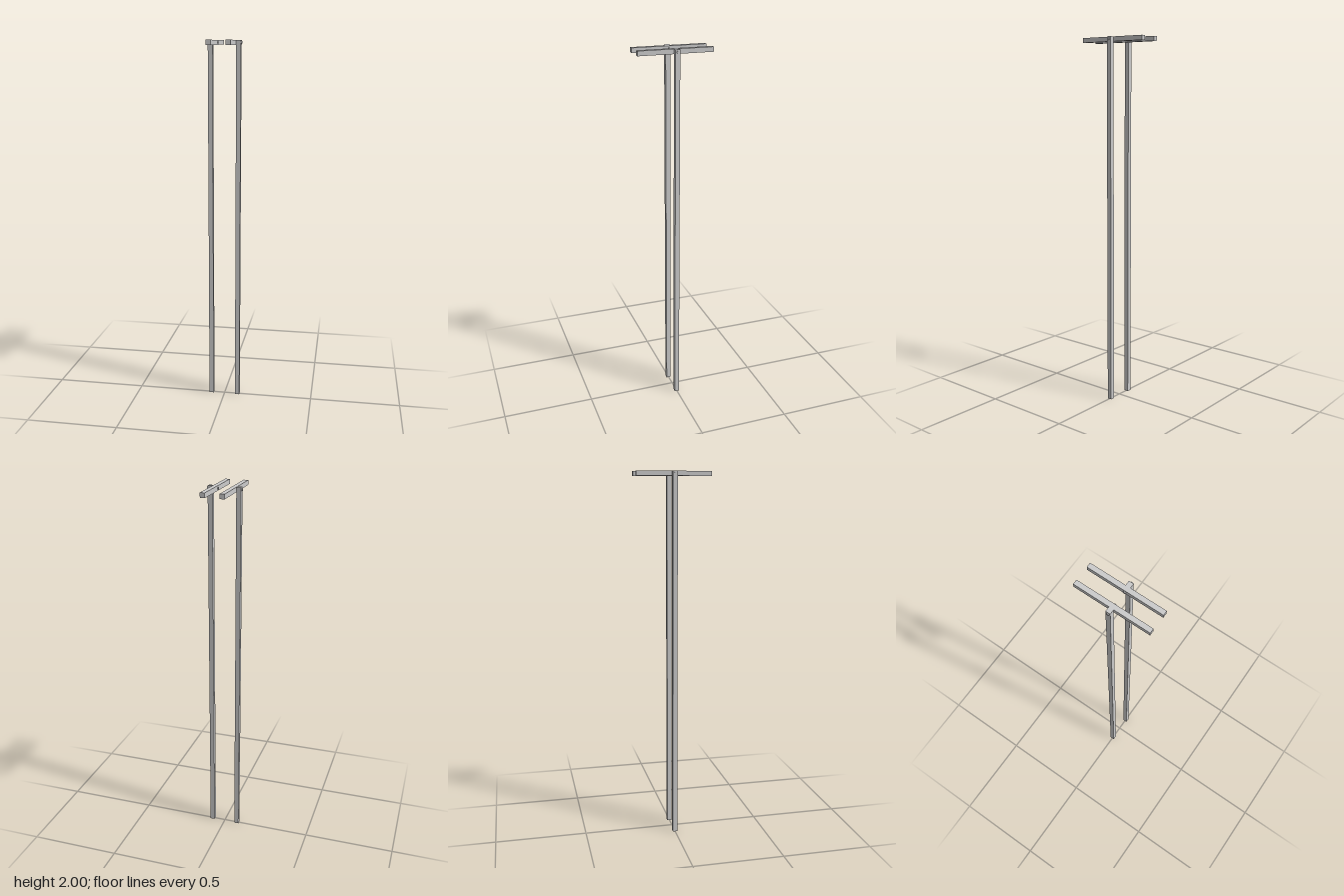
import * as THREE from 'three';

export function createModel() {
  const model = new THREE.Group();
  const material = new THREE.MeshStandardMaterial({ color: 0xcccccc });
  const T = 0.025; // timber thickness
  const H = 2;

  const add = (parent, name, geometry, x, y) => {
    const mesh = new THREE.Mesh(geometry, material);
    mesh.name = name;
    mesh.position.set(x, y, 0);
    parent.add(mesh);
    return mesh;
  };

  // Two mirrored T-shaped supports, crossbars on the inner faces
  for (const [side, s] of [['left', 1], ['right', -1]]) {
    const support = new THREE.Group();
    support.name = side + 'Support';
    add(support, 'post', new THREE.BoxGeometry(T, H, T), s * 0.075, H / 2);
    add(support, 'crossbar', new THREE.BoxGeometry(T, T, 0.4), s * 0.05, H - T / 2);

    // Bolt through post and crossbar, ends showing on both sides
    const bolt = add(support, 'bolt', new THREE.CylinderGeometry(0.0065, 0.0065, 0.06, 24), s * 0.0625, H - T / 2);
    bolt.rotation.z = Math.PI / 2;
    model.add(support);
  }
  return model;
}
